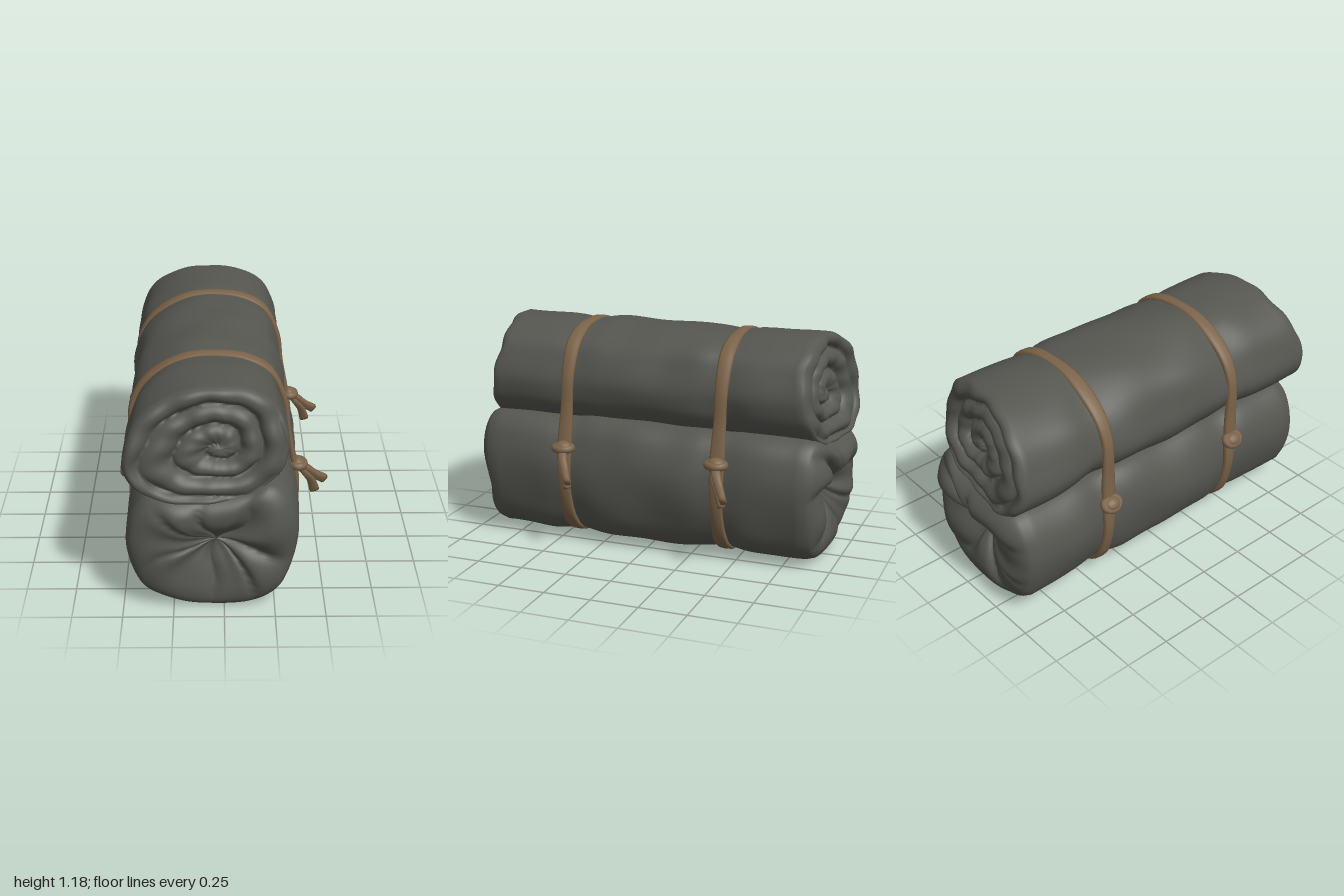
import * as THREE from 'three';

// Skin a list of rings (each the same number of points, wrapped around)
function skin(rings, closed = false) {
  const n = rings[0].length, m = rings.length, index = [];
  for (let i = 0; i < (closed ? m : m - 1); i++) {
    for (let j = 0; j < n; j++) {
      const k = (j + 1) % n, r = ((i + 1) % m) * n;
      const a = i * n + j, b = i * n + k, c = r + j, d = r + k;
      index.push(a, c, d, a, d, b);
    }
  }
  const geo = new THREE.BufferGeometry().setFromPoints(rings.flat());
  geo.setIndex(index);
  geo.computeVertexNormals();
  return geo;
}

const curve = (pts, closed) => new THREE.CatmullRomCurve3(
  pts.map(([x, y, z = 0]) => new THREE.Vector3(x, y, z)), closed, 'centripetal');
const bump = (d, w) => Math.exp(-((d / w) ** 2));
const STRAPS = [0.425, -0.425];

// Cloth roll along z: cap from the centre out, body, then cap back to the centre
function roll(outline, centre, capZ, halfBody, seed, belly) {
  const SEG = 112, CAP = 36, BODY = 60;
  const edge = curve(outline, true).getSpacedPoints(SEG).slice(0, SEG);
  const rings = [];
  const ring = (s, zOf) => rings.push(edge.map((e, j) => {
    const u = j / SEG, a = u * Math.PI * 2;
    const x = centre[0] + (e.x - centre[0]) * s;
    const y = centre[1] + (e.y - centre[1]) * s;
    return new THREE.Vector3(x, y, zOf(u, a, e));
  }));
  for (let i = 0; i <= CAP; i++) ring(i / CAP, (u, a, e) => capZ(i / CAP, u, a, e, 1));
  for (let i = 1; i < BODY; i++) {
    const t = i / BODY;
    const z0 = halfBody * (1 - 2 * t);
    const pinch = STRAPS.reduce((p, z) => p + bump(z0 - z, 0.1), 0);
    const fade = Math.sin(Math.PI * t) ** 0.5;
    rings.push(edge.map((e, j) => {
      const u = j / SEG, a = u * Math.PI * 2;
      const zf = capZ(1, u, a, e, 1), zb = -capZ(1, u, a, e, -1);
      const wave = 0.004 * Math.sin(3 * a + 5 * z0 + seed) + 0.004 * Math.sin(5 * a - 9 * z0 + seed * 2)
        + 0.003 * Math.sin(2 * a + 17 * z0) + belly * Math.max(0, Math.cos(a)) * fade;
      const k = 1 + (wave * fade - 0.019 * pinch) / 0.38;
      return new THREE.Vector3(centre[0] + (e.x - centre[0]) * k,
        Math.max(0.004, centre[1] + (e.y - centre[1]) * k), zf + (zb - zf) * t);
    }));
  }
  for (let i = CAP; i >= 0; i--) ring(i / CAP, (u, a, e) => -capZ(i / CAP, u, a, e, -1));
  return skin(rings);
}

// Rounded shoulder drop between cap and body
const shoulder = (s, from, depth) => {
  const t = Math.max(0, (s - from) / (1 - from));
  return depth * (1 - Math.sqrt(Math.max(0, 1 - t * t)));
};

// Coiled end: rounded layers separated by a spiral groove, longest at lower right
function coiledEnd(s, u, a, e, side) {
  const phase = s * 3 - u + 0.1 + 0.1 * Math.sin(3 * a + side) * s + 0.05 * Math.sin(7 * a) * s;
  const layer = Math.abs(Math.sin(Math.PI * phase)) ** 0.5;
  const groove = 0.06 * (1 - layer) * Math.min(1, s * 5) * (1 - s ** 8);
  const lean = -(0.04 * ((e.y - 0.9) / 0.29) + 0.045 * ((e.x + 0.08) / 0.39)) * s;
  return 0.92 + lean - groove - 0.03 * bump(s, 0.5) - shoulder(s, 0.88, 0.035)
    + 0.008 * Math.sin(4 * a + 2 * side) * s + 0.005 * Math.sin(11 * a) * s;
}

// Gathered end: folds radiating from a sunken middle, fuller above it
function gatheredEnd(s, u, a, e, side) {
  const mid = 4 * s * (1 - s);
  const bend = a + 0.25 * side * Math.sin(3 * s + 2 * a);
  const folds = 0.016 * Math.sin(4 * bend + 1.4 * Math.sin(2 * a))
    - 0.03 * (1 - Math.abs(Math.sin(3.5 * bend + 0.6))) ** 2;
  return 0.965 + folds * mid - 0.1 * bump(s, 0.33) - shoulder(s, 0.64, 0.1)
    + 0.03 * Math.sin(a) * mid - 0.015 * Math.cos(a) * s;
}

// Flattened band swept along a path; size(t) gives thickness and width halves
function band(path, steps, size, closed) {
  const zAxis = new THREE.Vector3(0, 0, 1), rings = [];
  for (let i = 0; i < (closed ? steps : steps + 1); i++) {
    const t = i / steps, p = path.getPointAt(t), tan = path.getTangentAt(t);
    const n = tan.clone().cross(zAxis).normalize(), b = n.clone().cross(tan);
    const [h, w] = size(t), r = [];
    for (let j = 0; j < 10; j++) {
      const f = (j / 10) * Math.PI * 2, c = Math.cos(f), s = Math.sin(f);
      r.push(p.clone().addScaledVector(n, h * Math.sign(c) * Math.abs(c) ** 0.7)
        .addScaledVector(b, w * Math.sign(s) * Math.abs(s) ** 0.7));
    }
    rings.push(r);
  }
  if (!closed) { // close both ends on a point
    rings.unshift(rings[0].map(() => path.getPointAt(0)));
    rings.push(rings[0].map(() => path.getPointAt(1)));
  }
  return skin(rings, closed);
}

export function createModel() {
  const cloth = new THREE.MeshStandardMaterial({ color: 0x555650 });
  cloth.name = 'dark grey cloth';
  const leather = new THREE.MeshStandardMaterial({ color: 0x7b6349 });
  leather.name = 'brown leather';
  const model = new THREE.Group();
  model.name = 'strappedBedroll';
  const add = (parent, name, geo, mat) => {
    const mesh = new THREE.Mesh(geo, mat);
    mesh.name = name;
    parent.add(mesh);
    return mesh;
  };

  // Upper coiled roll
  add(model, 'upperRoll', roll([
    [0.31, 0.9], [0.28, 1.0], [0.235, 1.08], [0.12, 1.15], [-0.03, 1.175], [-0.17, 1.165], [-0.3, 1.115],
    [-0.41, 1.025], [-0.46, 0.92], [-0.48, 0.79], [-0.4, 0.67], [-0.26, 0.615], [-0.08, 0.605],
    [0.08, 0.62], [0.2, 0.67], [0.28, 0.755], [0.305, 0.83],
  ], [-0.02, 0.87], coiledEnd, 0.86, 1, 0), cloth);

  // Lower gathered roll
  add(model, 'lowerRoll', roll([
    [0.365, 0.42], [0.352, 0.53], [0.31, 0.63], [0.23, 0.685], [0.1, 0.65], [-0.1, 0.63], [-0.3, 0.635],
    [-0.38, 0.61], [-0.45, 0.52], [-0.48, 0.38], [-0.452, 0.22], [-0.4, 0.12], [-0.28, 0.05],
    [-0.15, 0.012], [0.1, 0.01], [0.2, 0.04], [0.285, 0.11], [0.34, 0.25],
  ], [-0.04, 0.37], gatheredEnd, 0.87, 3, 0.024), cloth);

  // Two straps, each with a loop round both rolls, a knot on either side and loose ends
  const loop = curve([
    [0.375, 0.42], [0.36, 0.56], [0.325, 0.75], [0.302, 0.92], [0.225, 1.075], [0.11, 1.14],
    [-0.04, 1.159], [-0.18, 1.146], [-0.305, 1.09], [-0.4, 1.01], [-0.453, 0.91], [-0.467, 0.8],
    [-0.466, 0.68], [-0.47, 0.5], [-0.47, 0.36], [-0.44, 0.22], [-0.392, 0.13], [-0.276, 0.062],
    [-0.15, 0.024], [0.08, 0.022], [0.195, 0.05], [0.29, 0.12], [0.353, 0.26],
  ], true);
  const loopGeo = band(loop, 100, (t) => [0.016, 0.036 + 0.004 * Math.sin(t * Math.PI * 12)], true);
  const tails = [
    [[0.38, 0.55], [0.43, 0.51, -0.02], [0.47, 0.46, -0.05], [0.525, 0.41, -0.09]],
    [[0.38, 0.54], [0.42, 0.49, -0.01], [0.455, 0.43, -0.04], [0.475, 0.36, -0.065]],
  ].map((p) => band(curve(p, false), 14, (t) => [0.014 + 0.012 * t, 0.026 - 0.008 * t], false));
  const lump = new THREE.SphereGeometry(1, 14, 10);
  const wrap = new THREE.TorusGeometry(0.036, 0.017, 8, 18);

  STRAPS.forEach((z, i) => {
    const strap = new THREE.Group();
    strap.name = i ? 'backStrap' : 'frontStrap';
    strap.position.z = z;
    model.add(strap);
    add(strap, 'strapLoop', loopGeo, leather);
    tails.forEach((g) => add(strap, 'looseEnd', g, leather));
    for (const [name, x, y, tilt] of [['leftKnot', 0.38, 0.55, -0.5], ['rightKnot', -0.49, 0.53, 0.5]]) {
      const knot = new THREE.Group();
      knot.name = name;
      knot.position.set(x, y, 0);
      knot.rotation.z = tilt;
      strap.add(knot);
      add(knot, 'knotCore', lump, leather).scale.set(0.042, 0.036, 0.05);
      const turn = add(knot, 'knotTurn', wrap, leather);
      turn.rotation.set(Math.PI / 2, 0.4, 0);
      turn.scale.set(1, 1.25, 1.2);
    }
  });
  return model;
}
